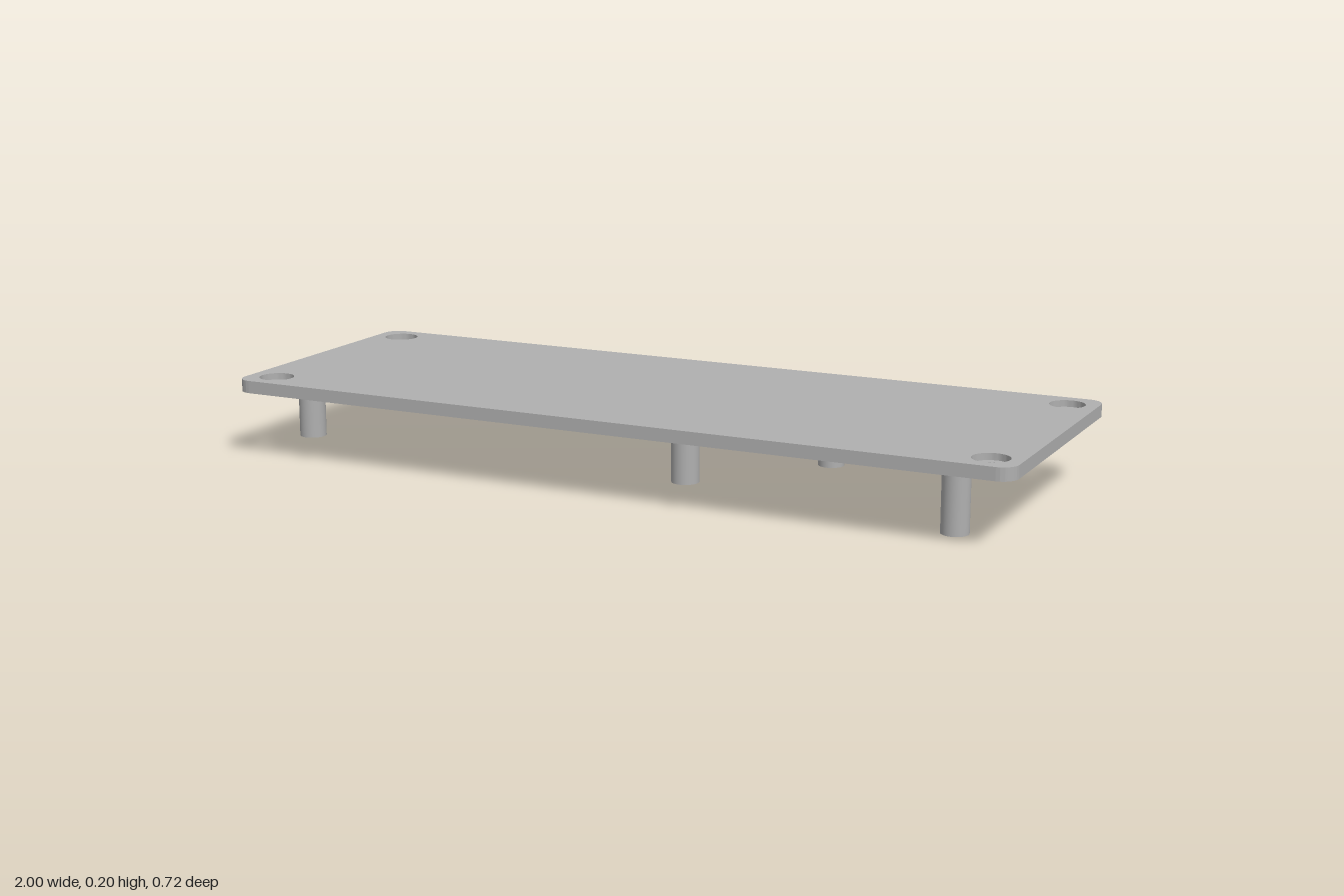
import * as THREE from 'three';
import { toCreasedNormals } from 'three/addons/utils/BufferGeometryUtils.js';

const HALF_X = 1, HALF_Z = 0.358, CORNER = 0.04;
const BOTTOM = 0.166, TOP = 0.197, LEDGE = 0.181;
const HOLE_X = 0.927, HOLE_Z = 0.286, BORE = 0.043, HOLE = 0.024;
const PEG_RADIUS = 0.0325;

export function createModel() {
  const model = new THREE.Group();
  model.name = 'coverPlate';
  const grey = new THREE.MeshStandardMaterial({ color: 0xb0b0b0 });
  grey.name = 'plain grey';

  const add = (name, geometry, x = 0, y = 0, z = 0) => {
    const mesh = new THREE.Mesh(geometry, grey);
    mesh.name = name;
    mesh.position.set(x, y, z);
    model.add(mesh);
  };

  // Rounded rectangular plate with four counterbores
  const outline = new THREE.Shape();
  const cx = HALF_X - CORNER, cz = HALF_Z - CORNER;
  outline.absarc(cx, cz, CORNER, 0, Math.PI / 2);
  outline.absarc(-cx, cz, CORNER, Math.PI / 2, Math.PI);
  outline.absarc(-cx, -cz, CORNER, Math.PI, Math.PI * 1.5);
  outline.absarc(cx, -cz, CORNER, Math.PI * 1.5, Math.PI * 2);
  outline.closePath();
  const corners = [[1, 1], [1, -1], [-1, 1], [-1, -1]];
  for (const [sx, sz] of corners) {
    const hole = new THREE.Path();
    hole.absarc(sx * HOLE_X, sz * HOLE_Z, BORE, 0, Math.PI * 2, true);
    outline.holes.push(hole);
  }
  const plate = new THREE.ExtrudeGeometry(outline, {
    depth: TOP - BOTTOM, bevelEnabled: false, curveSegments: 20,
  });
  plate.rotateX(-Math.PI / 2);
  add('plate', toCreasedNormals(plate, 0.6), 0, BOTTOM, 0);

  // Ledge inside each counterbore, leaving the smaller screw hole
  const profile = [[BORE, LEDGE], [HOLE, LEDGE], [HOLE, BOTTOM], [BORE, BOTTOM]]
    .map(([r, y]) => new THREE.Vector2(r, y));
  const ledge = toCreasedNormals(new THREE.LatheGeometry(profile, 40), 0.6);
  for (const [sx, sz] of corners) add('screwLedge', ledge, sx * HOLE_X, 0, sz * HOLE_Z);

  // Pegs under the plate: [x, z, foot height]
  const pegs = [
    [-0.829, 0.277, 0.057], [-0.829, -0.277, 0.057],
    [0.198, 0.277, 0.057], [0.198, -0.277, 0.057],
    [0.829, 0.22, 0], [0.358, -0.22, 0],
  ];
  for (const [x, z, foot] of pegs) {
    const height = BOTTOM - foot;
    add(foot > 0 ? 'shortPeg' : 'longPeg',
      new THREE.CylinderGeometry(PEG_RADIUS, PEG_RADIUS, height, 40), x, foot + height / 2, z);
  }
  return model;
}
